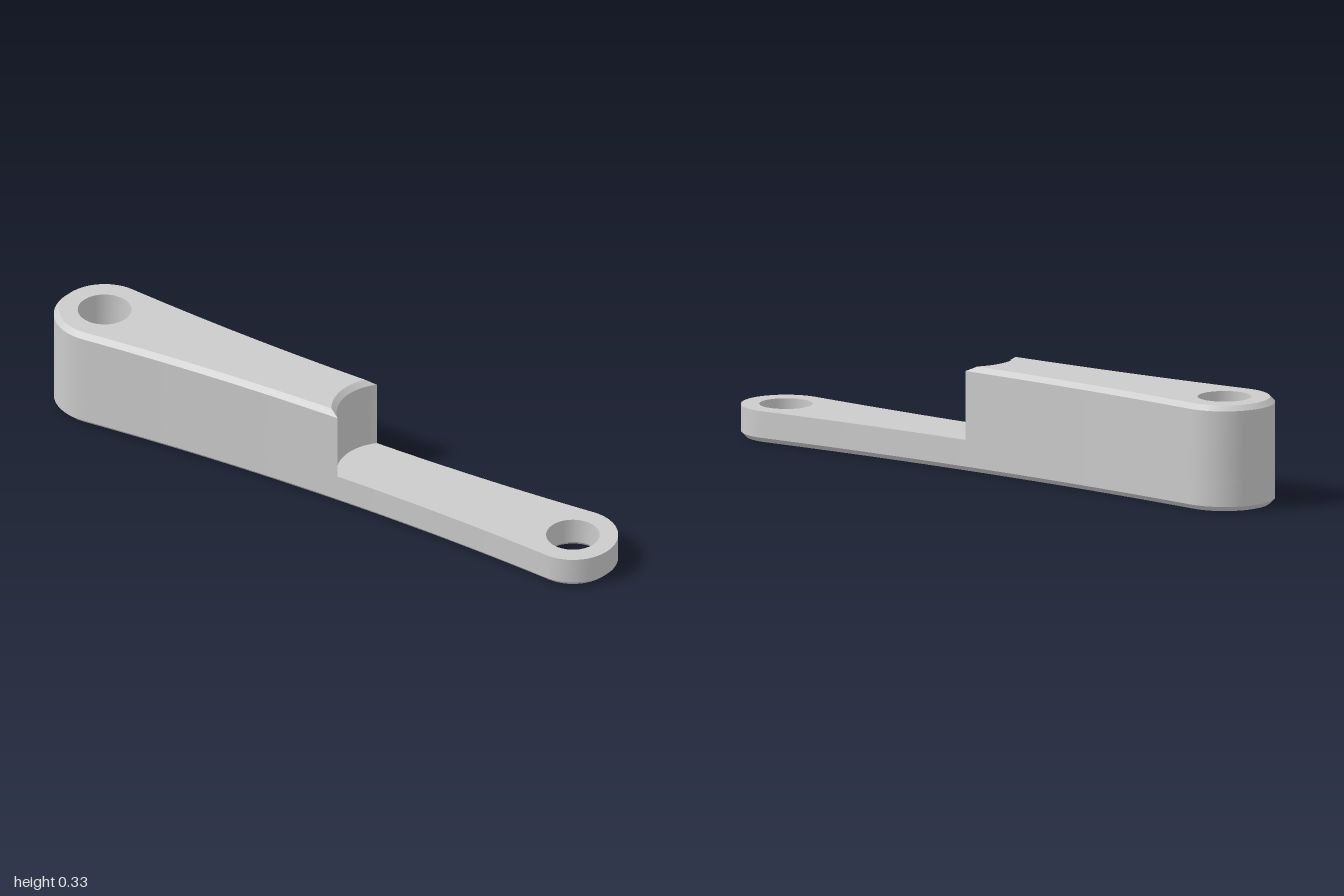
import * as THREE from 'three';
import { mergeGeometries, toCreasedNormals } from 'three/addons/utils/BufferGeometryUtils.js';

// Plan coordinates are (x, -z), so loops run counter-clockwise seen from above.
const V = (x, y) => new THREE.Vector2(x, y);
const A = V(-0.843, -0.003), RA = 0.157;   // end under the raised arm
const B = V(0.86, 0.018), RB = 0.14;       // end of the thin arm
const N = V(0.187, 0.007), RN = 0.157;     // round notch that ends the raised arm
const WAIST = 9.6, HOLE = 0.083, SINK = 0.1;
const BEVEL = 0.016, LEDGE = 0.1, TOP = 0.333;

// Intersection of two circles, on the left (side 1) or right (side -1) of p -> q
function meet(p, rp, q, rq, side) {
  const u = q.clone().sub(p), d = u.length();
  u.divideScalar(d);
  const a = (d * d + rp * rp - rq * rq) / (2 * d), h = Math.sqrt(rp * rp - a * a) * side;
  return V(p.x + u.x * a - u.y * h, p.y + u.y * a + u.x * h);
}

const angle = (from, to) => Math.atan2(to.y - from.y, to.x - from.x);

// Arc points without the last one, so arcs chain into loops
function arc(c, r, a0, a1, n) {
  return Array.from({ length: n }, (_, i) => {
    const t = a0 + (a1 - a0) * i / n;
    return V(c.x + r * Math.cos(t), c.y + r * Math.sin(t));
  });
}

// Centres of the wide concave side curves, tangent to both round ends
const U = meet(A, WAIST + RA, B, WAIST + RB, 1);
const L = meet(A, WAIST + RA, B, WAIST + RB, -1);

// Outline pieces, inset by d
function pieces(d) {
  const R = WAIST + d, r = RN + d;
  const pu = meet(N, r, U, R, 1), pl = meet(N, r, L, R, -1);
  const thin = [
    ...arc(L, R, angle(L, pl), angle(L, B), 16),
    ...arc(B, RB - d, angle(B, L), angle(B, U), 28),
    ...arc(U, R, angle(U, B), angle(U, pu), 16)];
  const thick = [
    ...arc(U, R, angle(U, pu), angle(U, A), 16),
    ...arc(A, RA - d, angle(A, U), angle(A, L) + 2 * Math.PI, 28),
    ...arc(L, R, angle(L, A), angle(L, pl), 16)];
  const lo = angle(N, pl) + 2 * Math.PI, hi = angle(N, pu);
  return {
    whole: [...thin, ...thick],
    raised: [...thick, ...arc(N, r, lo, hi, 16)],
    ledge: [...thin, ...arc(N, r, hi, lo, 16)],
  };
}

const circle = (c, r) => arc(c, r, 0, 2 * Math.PI, 40);

// Wall skinned through stacked loops: [[points, y], ...]
function wall(levels) {
  const pos = [], idx = [], n = levels[0][0].length;
  for (const [pts, y] of levels) for (const p of pts) pos.push(p.x, y, -p.y);
  for (let k = 0; k < levels.length - 1; k++) {
    for (let i = 0; i < n; i++) {
      const a = k * n + i, b = k * n + (i + 1) % n;
      idx.push(a, b, b + n, a, b + n, a + n);
    }
  }
  const g = new THREE.BufferGeometry();
  g.setAttribute('position', new THREE.Float32BufferAttribute(pos, 3));
  g.setIndex(idx);
  return g.toNonIndexed();
}

// Flat horizontal face with holes
function cap(pts, holes, y, down = false) {
  const shape = new THREE.Shape(pts);
  holes.forEach(h => shape.holes.push(new THREE.Path(h)));
  const g = new THREE.ShapeGeometry(shape).rotateX(-Math.PI / 2).translate(0, y, 0);
  if (down) g.setIndex(Array.from(g.index.array).reverse());
  g.deleteAttribute('uv');
  g.deleteAttribute('normal');
  return g.toNonIndexed();
}

export function createModel() {
  const group = new THREE.Group();
  const material = new THREE.MeshStandardMaterial({ color: 0xcccccc });
  const add = (name, parts) => {
    const mesh = new THREE.Mesh(toCreasedNormals(mergeGeometries(parts), 0.55), material);
    mesh.name = name;
    group.add(mesh);
  };
  const full = pieces(0), inset = pieces(BEVEL);

  // Full-length base plate with a chamfered underside and the open ledge
  add('baseArm', [
    cap(inset.whole, [circle(A, SINK), circle(B, SINK)], 0, true),
    wall([[inset.whole, 0], [full.whole, BEVEL], [full.whole, LEDGE]]),
    cap(full.ledge, [circle(B, HOLE)], LEDGE),
  ]);

  // Tall half with a chamfered top and a concave end
  add('raisedArm', [
    wall([[full.raised, LEDGE], [full.raised, TOP - BEVEL], [inset.raised, TOP]]),
    cap(inset.raised, [circle(A, HOLE)], TOP),
  ]);

  // Through holes, countersunk from below
  for (const [name, c, top] of [['raisedEndBore', A, TOP], ['thinEndBore', B, LEDGE]]) {
    const ring = r => circle(c, r).reverse();
    add(name, [wall([[ring(SINK), 0], [ring(HOLE), SINK - HOLE], [ring(HOLE), top]])]);
  }
  return group;
}
